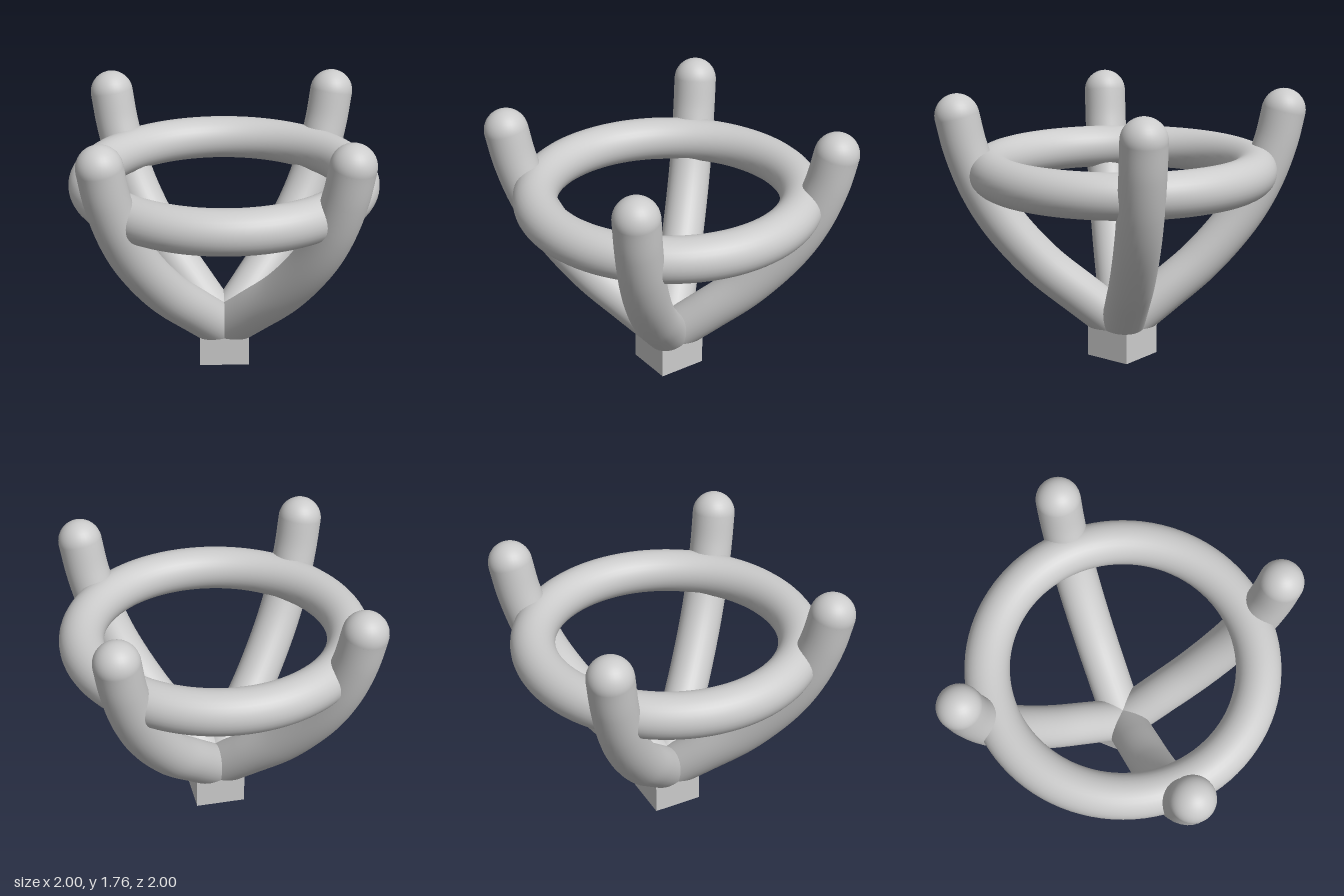
import * as THREE from 'three';

const R = 0.143;        // thickness of prongs and ring
const BASE_TOP = 0.2;

// Swept prong whose lower end is trimmed flat on the base plane
function prongGeometry() {
  const profile = [[0, 0.2], [0.19, 0.418], [0.374, 0.639], [0.549, 0.926],
    [0.647, 1.163], [0.713, 1.412], [0.747, 1.62]];
  const path = new THREE.CatmullRomCurve3(profile.map(([d, y]) => new THREE.Vector3(d, y, d)));
  const sides = 32;
  const geo = new THREE.TubeGeometry(path, 64, R, sides, false);
  const dir = path.getTangent(0);
  const pos = geo.attributes.position;
  for (let i = 0; i < pos.count; i++) {
    const y = pos.getY(i);
    if (i <= sides || y < BASE_TOP) {
      const t = (BASE_TOP - y) / dir.y;
      pos.setXYZ(i, pos.getX(i) + dir.x * t, BASE_TOP, pos.getZ(i) + dir.z * t);
    }
  }
  return { geo, slope: dir.y };
}

export function createModel() {
  const model = new THREE.Group();
  const material = new THREE.MeshStandardMaterial({ color: 0xcccccc });
  const add = (parent, name, geometry) => {
    const mesh = new THREE.Mesh(geometry, material);
    mesh.name = name;
    parent.add(mesh);
    return mesh;
  };

  // Square foot
  add(model, 'base', new THREE.BoxGeometry(0.326, BASE_TOP, 0.326)).position.y = BASE_TOP / 2;

  // Horizontal ring
  const ring = add(model, 'ring', new THREE.TorusGeometry(0.855, R, 32, 96));
  ring.rotation.x = Math.PI / 2;
  ring.position.y = 1.253;

  // Four prongs on the diagonals
  const { geo, slope } = prongGeometry();
  const tipGeo = new THREE.SphereGeometry(R, 32, 20);
  const endGeo = new THREE.CircleGeometry(R, 32)
    .scale(1 / slope, 1, 1)
    .rotateX(Math.PI / 2)
    .rotateY(-Math.PI / 4);
  for (let i = 0; i < 4; i++) {
    const prong = new THREE.Group();
    prong.name = 'prong' + (i + 1);
    add(prong, 'prongShaft', geo);
    add(prong, 'prongTip', tipGeo).position.set(0.747, 1.62, 0.747);
    add(prong, 'prongFoot', endGeo).position.y = BASE_TOP;
    prong.rotation.y = i * Math.PI / 2;
    model.add(prong);
  }
  return model;
}
